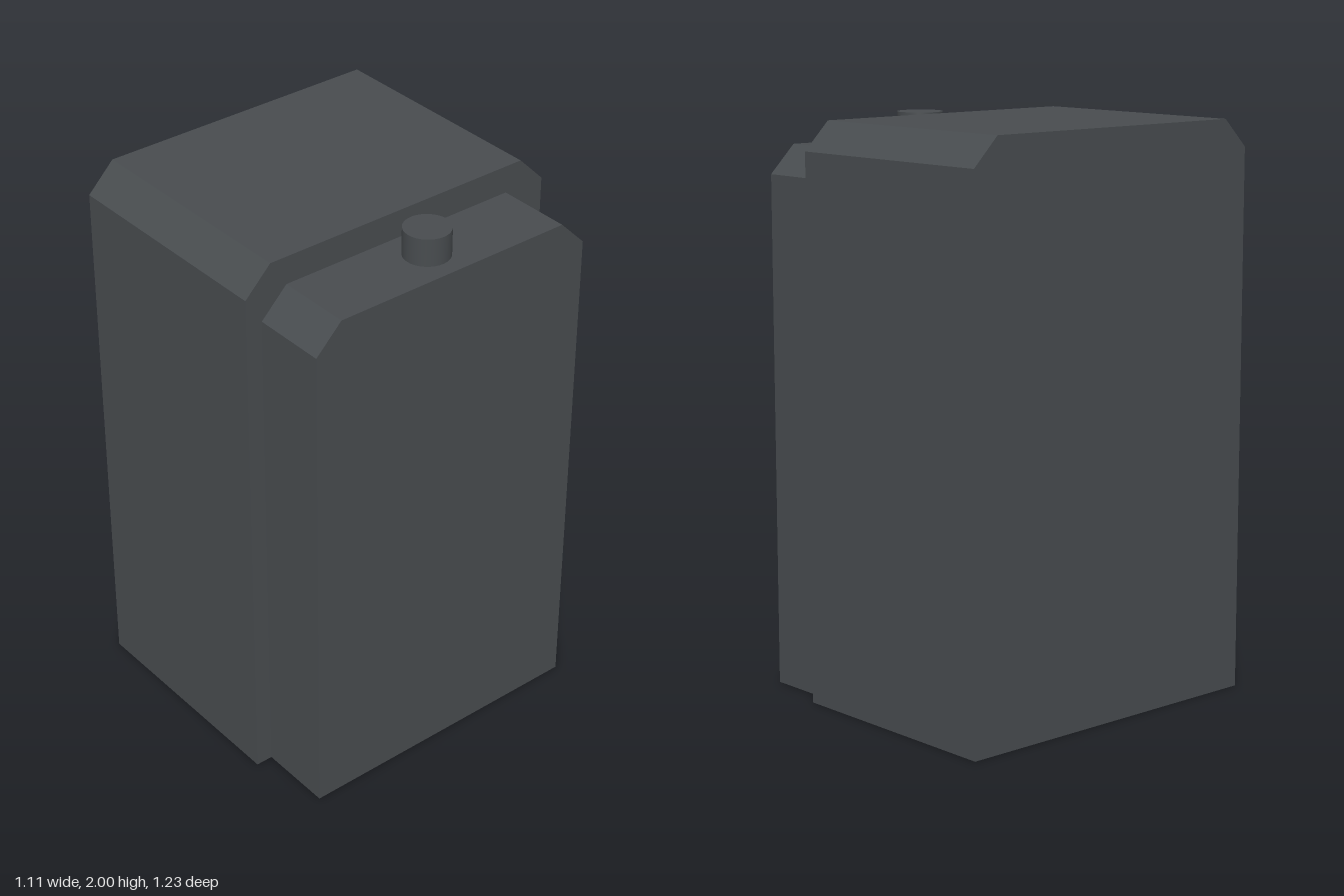
import * as THREE from 'three';

const darkGrey = new THREE.MeshStandardMaterial({ color: 0x484c4f });
darkGrey.name = 'darkGrey';

// Upright slab with chamfered top front and back edges, spanning x0 to x1
function chamferedBlock(name, x0, x1, halfDepth, height, chamfer) {
  const s = new THREE.Shape();
  s.moveTo(-halfDepth, 0);
  s.lineTo(halfDepth, 0);
  s.lineTo(halfDepth, height - chamfer);
  s.lineTo(halfDepth - chamfer, height);
  s.lineTo(chamfer - halfDepth, height);
  s.lineTo(-halfDepth, height - chamfer);
  s.closePath();
  const geometry = new THREE.ExtrudeGeometry(s, { depth: x1 - x0, bevelEnabled: false });
  geometry.rotateY(Math.PI / 2);
  geometry.translate(x0, 0, 0);
  const mesh = new THREE.Mesh(geometry, darkGrey);
  mesh.name = name;
  return mesh;
}

export function createModel() {
  const group = new THREE.Group();
  group.name = 'chamferedCase';

  // Main body and the smaller side section
  group.add(chamferedBlock('mainBody', -0.557, 0.287, 0.614, 2, 0.098));
  group.add(chamferedBlock('sideSection', 0.287, 0.557, 0.553, 1.902, 0.098));

  // Round button on top of the side section
  const button = new THREE.Mesh(new THREE.CylinderGeometry(0.08, 0.08, 0.1, 32), darkGrey);
  button.name = 'topButton';
  button.position.set(0.421, 1.95, 0);
  group.add(button);

  return group;
}
